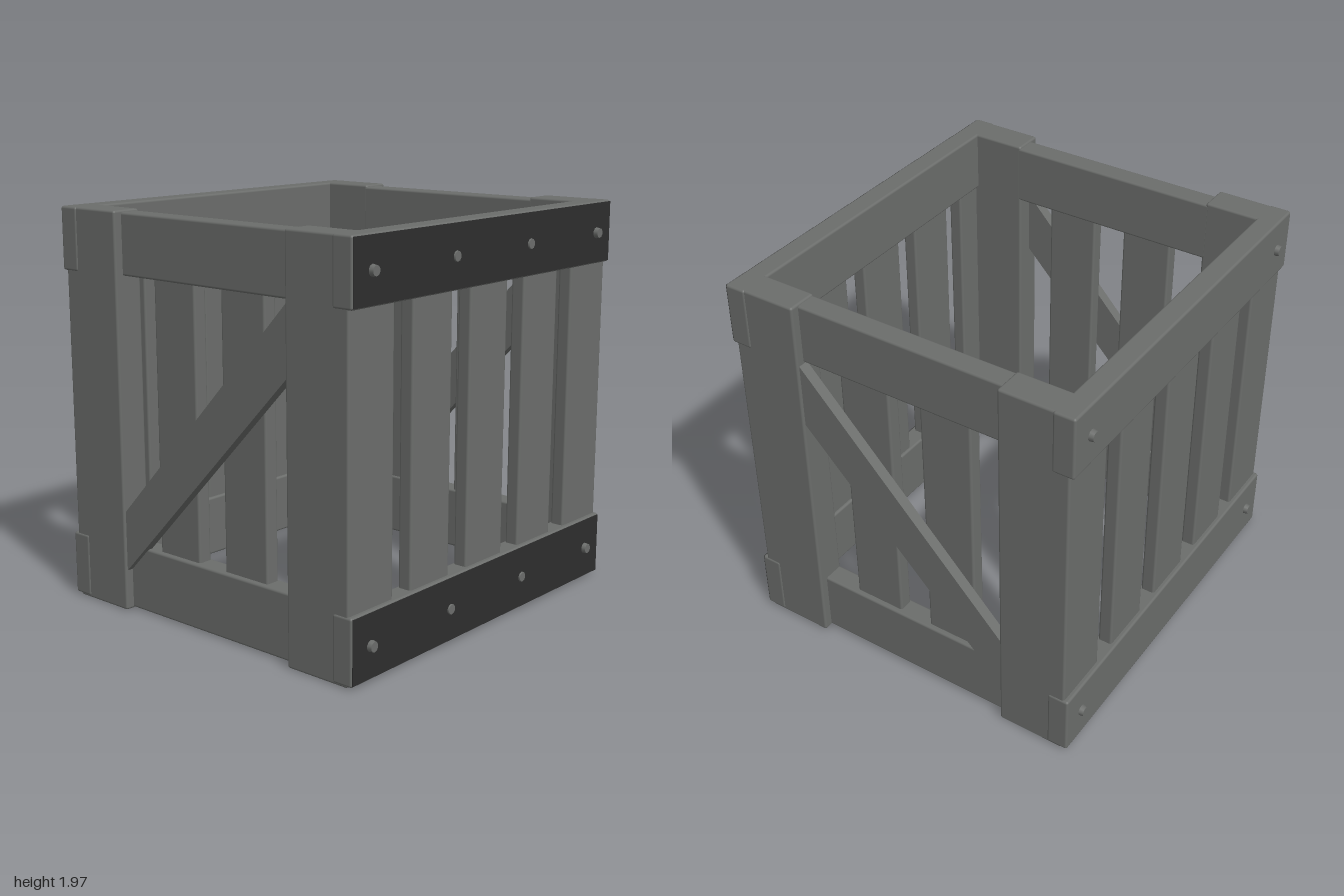
import * as THREE from 'three';
import { RoundedBoxGeometry } from 'three/addons/geometries/RoundedBoxGeometry.js';

const wood = new THREE.MeshStandardMaterial({ color: 0x6b6d6b });
wood.name = 'grey wood';
const dark = new THREE.MeshStandardMaterial({ color: 0x2e2e2e });
dark.name = 'dark front face';

// Softly bevelled board given by its extents on each axis
function board(name, [x0, x1], [y0, y1], [z0, z1]) {
  const geo = new RoundedBoxGeometry(x1 - x0, y1 - y0, z1 - z0, 2, 0.012);
  geo.translate((x0 + x1) / 2, (y0 + y1) / 2, (z0 + z1) / 2);
  const mesh = new THREE.Mesh(geo, wood);
  mesh.name = name;
  return mesh;
}

// Same extent on the positive or negative side of an axis
const side = (s, a, b) => (s > 0 ? [a, b] : [-b, -a]);

export function createModel() {
  const crate = new THREE.Group();
  crate.name = 'crate';
  const railHeights = [[0.01, 0.33], [1.66, 1.97]];

  // Front and back walls: five upright slats held by two rails
  const slats = [[-0.995, -0.69], [-0.565, -0.28], [-0.145, 0.145], [0.28, 0.565], [0.69, 0.995]];
  for (const s of [1, -1]) {
    const wall = new THREE.Group();
    wall.name = s > 0 ? 'frontWall' : 'backWall';
    for (const x of slats) wall.add(board('slat', x, [0.02, 1.95], side(s, 0.825, 0.897)));

    for (const y of railHeights) {
      wall.add(board('rail', [-1, 1], y, side(s, 0.81, 0.92)));
      const middle = (y[0] + y[1]) / 2;

      // Dark outer face of the front rails
      if (s > 0) {
        const plate = new THREE.Mesh(new THREE.BoxGeometry(1.985, y[1] - y[0] - 0.014, 0.004), dark);
        plate.position.set(0, middle, 0.92);
        plate.name = 'railFace';
        wall.add(plate);
      }

      // Bolts: raised at the ends, nearly flush in the middle of the front
      const bolts = s > 0 ? [-0.87, -0.29, 0.29, 0.87] : [-0.87, 0.87];
      for (const x of bolts) {
        const length = Math.abs(x) > 0.5 ? 0.04 : 0.026;
        const bolt = new THREE.Mesh(new THREE.CylinderGeometry(0.024, 0.031, length, 10), wood);
        bolt.rotation.x = s * Math.PI / 2;
        bolt.position.set(x, middle, s * (0.903 + length / 2));
        bolt.name = 'bolt';
        wall.add(bolt);
      }
    }
    crate.add(wall);
  }

  // Diagonal brace outline, drawn in z and y
  const braceShape = new THREE.Shape([
    new THREE.Vector2(0.545, 1.33), new THREE.Vector2(0.545, 1.66),
    new THREE.Vector2(-0.545, 0.5), new THREE.Vector2(-0.545, 0.2),
  ]);

  // Side walls: thick posts, rails, recessed slats and a diagonal brace
  for (const s of [1, -1]) {
    const wall = new THREE.Group();
    wall.name = s > 0 ? 'leftWall' : 'rightWall';
    for (const f of [1, -1]) {
      wall.add(board('cornerPost', side(s, 0.84, 0.995), [0, 1.97], side(f, 0.54, 0.89)));
      wall.add(board('sideSlat', side(s, 0.85, 0.925), [0.05, 1.9], side(f, 0.085, 0.355)));
    }
    for (const y of [[0.005, 0.33], [1.66, 1.96]]) {
      wall.add(board('sideRail', side(s, 0.84, 0.95), y, [-0.56, 0.56]));
    }
    const geo = new THREE.ExtrudeGeometry(braceShape, { depth: 0.055, bevelEnabled: false });
    geo.rotateY(-Math.PI / 2);
    geo.translate(s > 0 ? 0.982 : -0.927, 0, 0);
    const brace = new THREE.Mesh(geo, wood);
    brace.name = 'diagonalBrace';
    wall.add(brace);
    crate.add(wall);
  }
  return crate;
}
